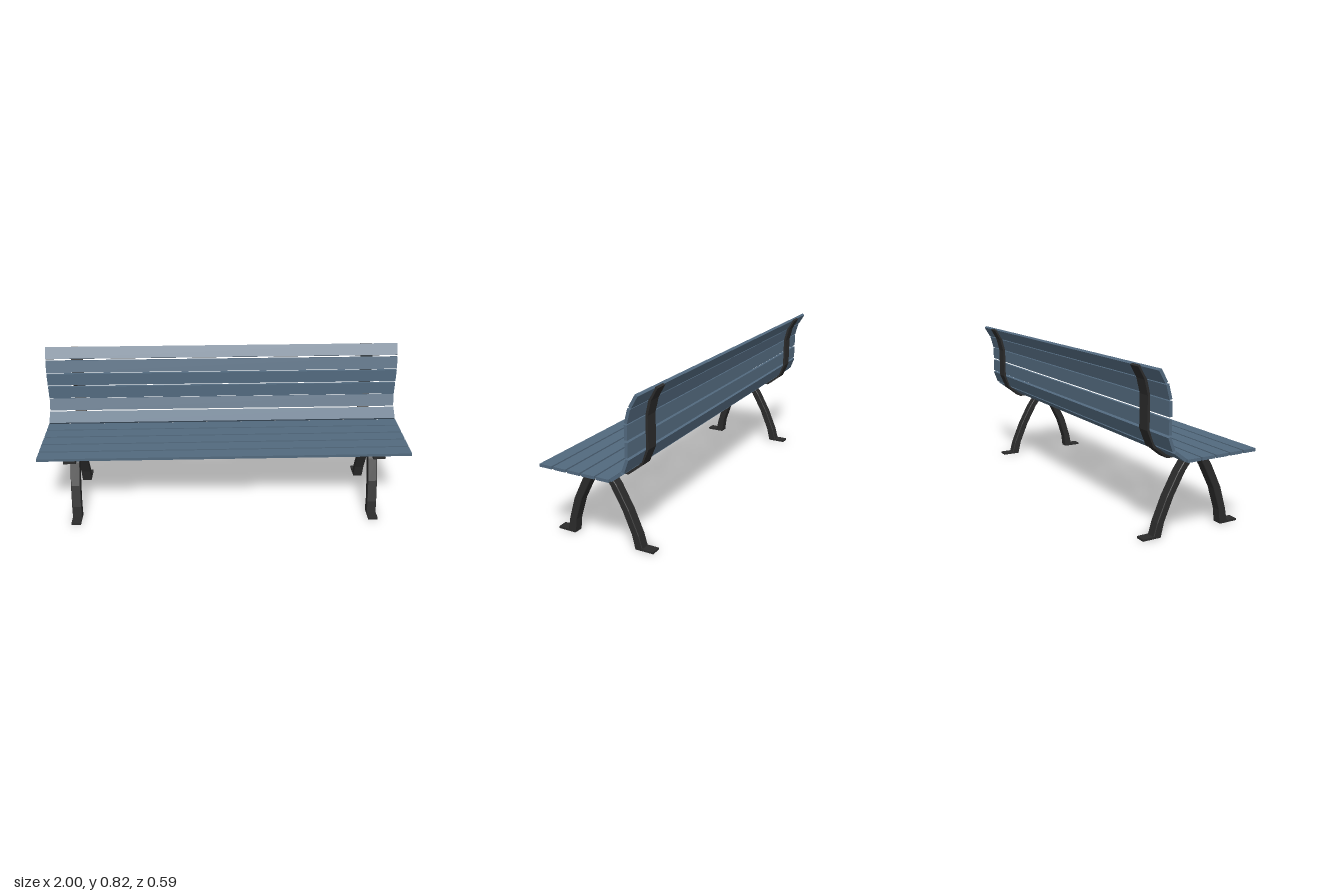
import * as THREE from 'three';

const slatPaint = new THREE.MeshStandardMaterial({ color: 0x52697e });
slatPaint.name = 'blueGreySlats';
const ironPaint = new THREE.MeshStandardMaterial({ color: 0x2b2b2b });
ironPaint.name = 'darkIron';

// Extrudes a side profile of [z, y] points across x, centred on x = 0
function sideExtrude(points, width, bevel = 0) {
  const shape = new THREE.Shape(points.map(([z, y]) => new THREE.Vector2(z, y)));
  const geometry = new THREE.ExtrudeGeometry(shape, {
    depth: width - 2 * bevel,
    bevelEnabled: bevel > 0,
    bevelThickness: bevel,
    bevelSize: bevel,
    bevelOffset: -bevel,
    bevelSegments: 1,
  });
  geometry.translate(0, 0, bevel - width / 2);
  return geometry.rotateY(-Math.PI / 2);
}

// Slat centre lines, [z, y] from the front/lower edge to the back/upper edge
const SLATS = [
  ...[0.262, 0.183, 0.104, 0.025, -0.053].map((z) => [[z, 0.402], [z - 0.069, 0.402]]),
  [[-0.133, 0.407], [-0.191, 0.451]],
  [[-0.199, 0.458], [-0.223, 0.523]],
  [[-0.22, 0.531], [-0.22, 0.6]],
  [[-0.22, 0.611], [-0.22, 0.68]],
  [[-0.221, 0.687], [-0.239, 0.754]],
  [[-0.244, 0.761], [-0.278, 0.819]],
];

// Seat and back support strap: upper edge, then the lower edge back to the front
const STRAP = [
  [0.27, 0.395], [-0.128, 0.395], [-0.199, 0.45], [-0.231, 0.525],
  [-0.231, 0.685], [-0.249, 0.759], [-0.284, 0.82],
  [-0.295, 0.814], [-0.261, 0.754], [-0.243, 0.682], [-0.243, 0.522],
  [-0.209, 0.441], [-0.134, 0.382], [0.27, 0.382],
];

const FRONT_LEG = [
  [0.237, 0], [0.237, 0.01], [0.225, 0.073], [0.19, 0.19], [0.135, 0.303], [0.085, 0.386],
  [0.04, 0.386], [0.09, 0.303], [0.149, 0.188], [0.186, 0.073], [0.195, 0],
];

const BACK_LEG = [
  [-0.153, 0], [-0.135, 0.073], [-0.085, 0.19], [-0.022, 0.303], [0.044, 0.386],
  [-0.003, 0.386], [-0.063, 0.303], [-0.125, 0.19], [-0.175, 0.073], [-0.193, 0.01], [-0.193, 0],
];

export function createModel() {
  const bench = new THREE.Group();
  bench.name = 'bench';

  const add = (parent, name, geometry, material) => {
    const mesh = new THREE.Mesh(geometry, material);
    mesh.name = name;
    parent.add(mesh);
    return mesh;
  };

  // Long slats of the seat and curved back
  SLATS.forEach(([[z0, y0], [z1, y1]], i) => {
    const length = Math.hypot(z1 - z0, y1 - y0);
    const name = i < 5 ? `seatSlat${i + 1}` : `backSlat${i - 4}`;
    const slat = add(bench, name, new THREE.BoxGeometry(2, 0.015, length), slatPaint);
    slat.position.set(0, (y0 + y1) / 2, (z0 + z1) / 2);
    slat.rotation.x = Math.atan2(y0 - y1, z1 - z0);
  });

  // Iron frame at each end: strap, two curved legs and flat feet
  for (const [side, x] of [['left', 0.825], ['right', -0.825]]) {
    const frame = new THREE.Group();
    frame.name = `${side}Frame`;
    frame.position.x = x;
    add(frame, 'strap', sideExtrude(STRAP, 0.066), ironPaint);
    add(frame, 'frontLeg', sideExtrude(FRONT_LEG, 0.052, 0.003), ironPaint);
    add(frame, 'backLeg', sideExtrude(BACK_LEG, 0.052, 0.003), ironPaint);
    add(frame, 'frontFoot', new THREE.BoxGeometry(0.052, 0.01, 0.098), ironPaint).position.set(0, 0.005, 0.246);
    add(frame, 'backFoot', new THREE.BoxGeometry(0.052, 0.01, 0.098), ironPaint).position.set(0, 0.005, -0.204);
    bench.add(frame);
  }

  return bench;
}
